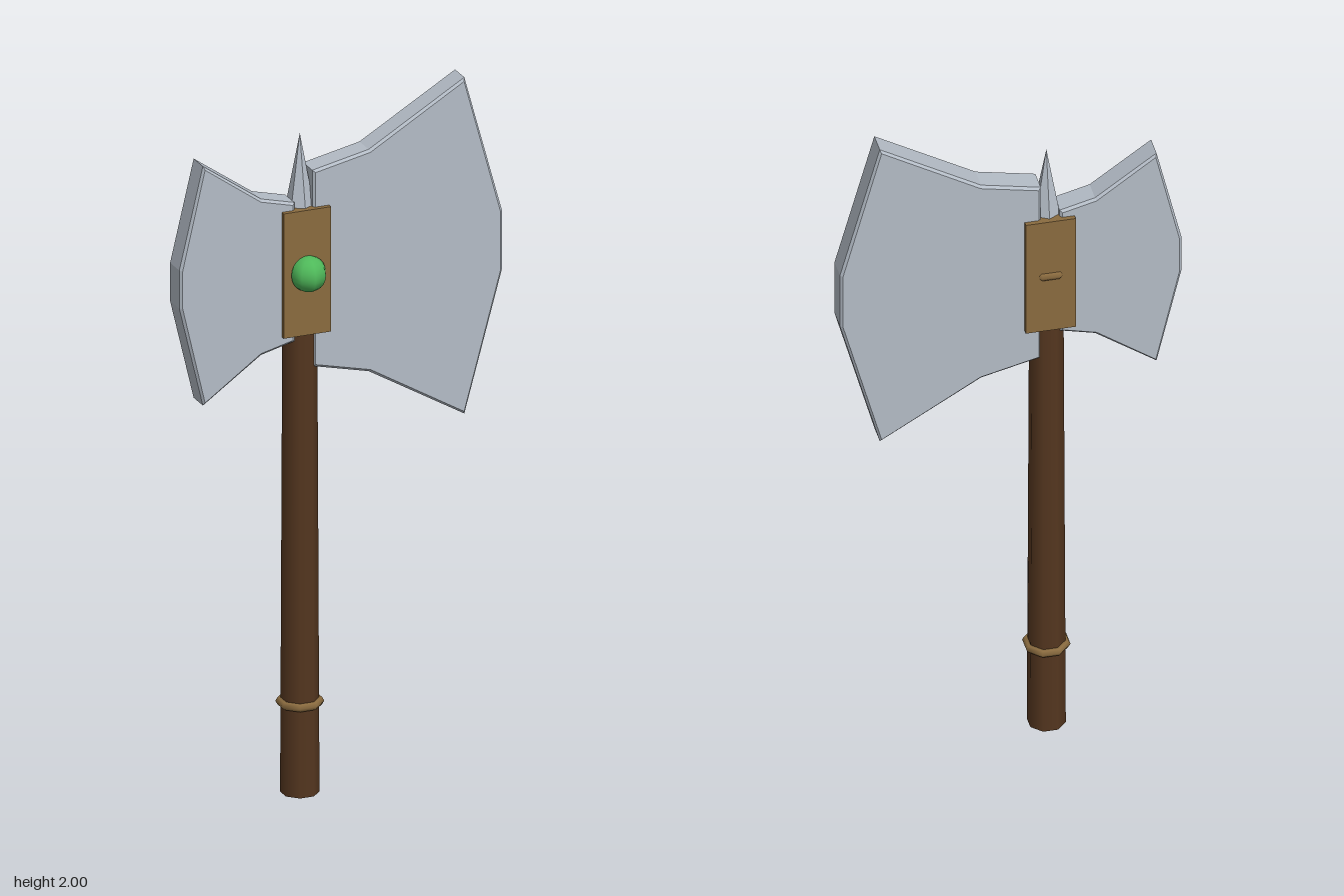
import * as THREE from 'three';

const CX = -0.108, CZ = -0.026; // axis of the handle

const paint = (color, flatShading = false) =>
  new THREE.MeshStandardMaterial({ color, flatShading });

export function createModel() {
  const axe = new THREE.Group();
  axe.name = 'doubleBladedAxe';
  const wood = paint(0x54361f), brass = paint(0x8a6b3f);
  const steel = paint(0xb4bcc6, true), green = paint(0x4fb95a);

  const add = (name, geometry, material, x, y, z) => {
    const mesh = new THREE.Mesh(geometry, material);
    mesh.name = name;
    mesh.position.set(x, y, z);
    axe.add(mesh);
    return mesh;
  };

  // Tapered eight-sided handle
  add('handle', new THREE.CylinderGeometry(0.046, 0.053, 1.6, 8).rotateY(Math.PI / 8),
    wood, CX, 0.8, CZ);

  // Binding rings: one low on the handle, one through the head
  for (const [name, y] of [['gripRing', 0.262], ['headRing', 1.515]]) {
    const ring = new THREE.TorusGeometry(0.054, 0.012, 6, 8);
    ring.rotateX(Math.PI / 2).rotateY(Math.PI / 8);
    add(name, ring, brass, CX, y, CZ);
  }

  // Blades: extruded outlines with a fine bevel
  const bevel = 0.007, thickness = 0.077;
  const blade = (name, outline) => {
    const shape = new THREE.Shape(outline.map(([x, y]) => new THREE.Vector2(x, y)));
    const geometry = new THREE.ExtrudeGeometry(shape, {
      depth: thickness - 2 * bevel, bevelThickness: bevel,
      bevelSize: bevel, bevelOffset: -bevel, bevelSegments: 1,
    });
    add(name, geometry, steel, 0, 0, CZ - thickness / 2 + bevel);
  };
  blade('largeBlade', [
    [-0.085, 1.235], [0.08, 1.195], [0.36, 1.03], [0.47, 1.43],
    [0.47, 1.6], [0.36, 2.0], [0.08, 1.835], [-0.085, 1.8],
  ]);
  blade('smallBlade', [
    [-0.137, 1.715], [-0.235, 1.74], [-0.405, 1.86], [-0.474, 1.57],
    [-0.474, 1.46], [-0.405, 1.17], [-0.235, 1.29], [-0.137, 1.315],
  ]);

  // Socket block holding both blades
  add('socket', new THREE.BoxGeometry(0.138, 0.36, 0.104), brass, CX, 1.515, CZ);

  // Six-sided top spike
  add('spike', new THREE.ConeGeometry(0.041, 0.22, 6), steel, CX, 1.79, CZ);

  // Round gem set in the front of the socket
  add('gem', new THREE.SphereGeometry(0.05, 8, 12), green, CX, 1.515, 0.034);

  return axe;
}
